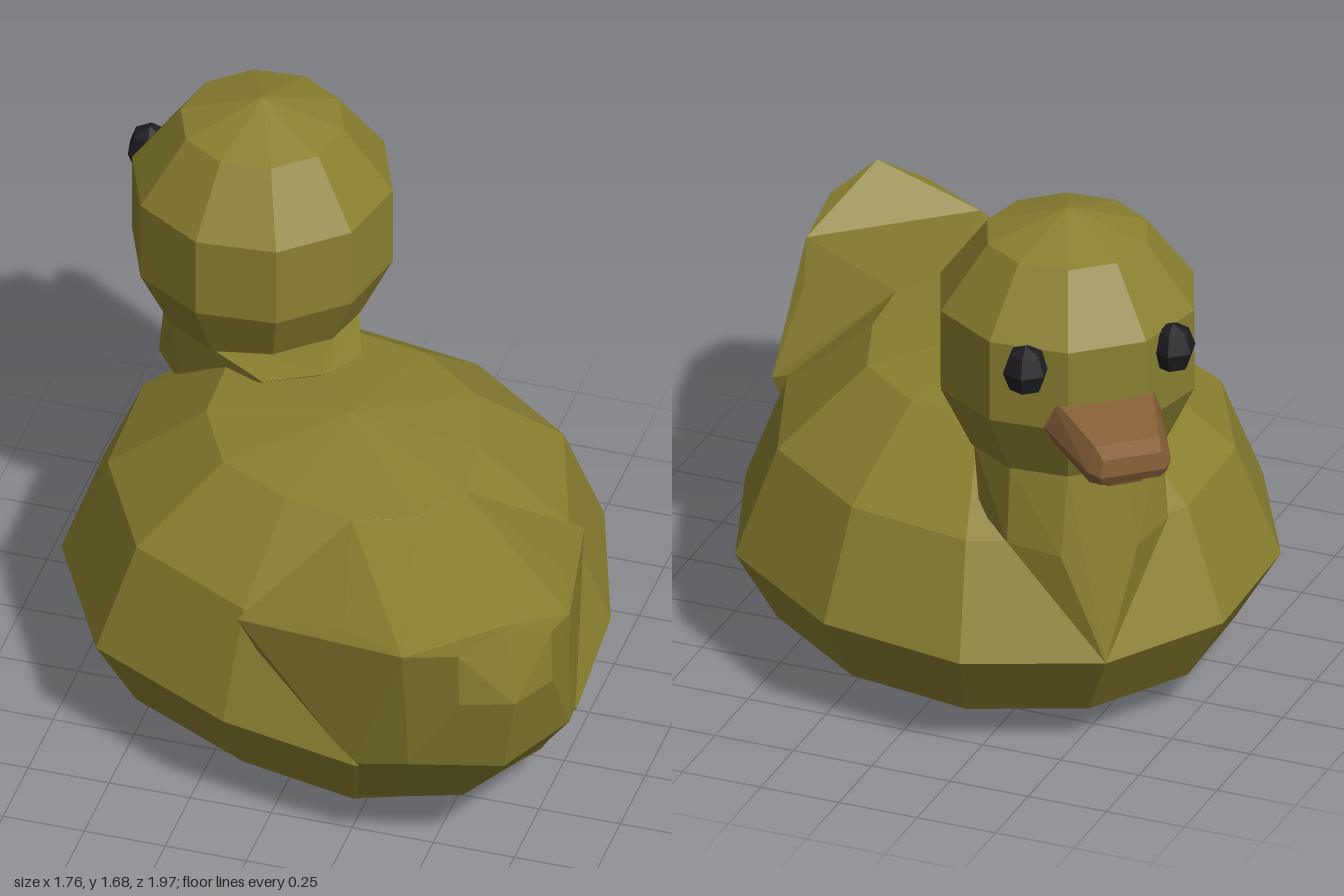
import * as THREE from 'three';
import { ConvexGeometry } from 'three/addons/geometries/ConvexGeometry.js';

const feather = new THREE.MeshStandardMaterial({ color: 0x8a8030 });
feather.name = 'olive feather';
const bill = new THREE.MeshStandardMaterial({ color: 0x855f38 });
bill.name = 'brown bill';
const black = new THREE.MeshStandardMaterial({ color: 0x1d1e22 });
black.name = 'eye black';

// Split shared vertices so every facet is flat
function faceted(geometry) {
  const g = geometry.toNonIndexed();
  g.computeVertexNormals();
  return g;
}

// Low-poly turned form from [radius, height] pairs, bottom to top
function turned(profile, sides) {
  return new THREE.LatheGeometry(profile.map(([r, y]) => new THREE.Vector2(r, y)), sides);
}

// Convex block from points given for one side [x, y, z] and mirrored in x
function mirroredHull(points) {
  const all = [];
  for (const [x, y, z] of points) {
    all.push(new THREE.Vector3(x, y, z));
    if (x !== 0) all.push(new THREE.Vector3(-x, y, z));
  }
  return new ConvexGeometry(all);
}

export function createModel() {
  const duck = new THREE.Group();
  duck.name = 'duck';
  function add(name, geometry, material) {
    const mesh = new THREE.Mesh(geometry, material);
    mesh.name = name;
    duck.add(mesh);
    return mesh;
  }

  // Body: squashed twelve-sided egg, narrower towards the back
  const body = turned([[0, 0], [0.5, 0.03], [0.84, 0.11], [1, 0.34], [0.84, 0.67], [0.5, 0.9], [0, 0.96]], 12);
  body.scale(0.82, 1, 1);
  const pos = body.attributes.position;
  for (let i = 0; i < pos.count; i++) {
    if (pos.getZ(i) < -0.1) {
      pos.setX(i, pos.getX(i) * 0.88);
      pos.setZ(i, pos.getZ(i) * 0.97);
    }
  }
  body.translate(0, 0, -0.03);
  add('body', faceted(body), feather);

  // Rump rising into the upturned tail
  add('rump', mirroredHull([
    [0, 0.9, -0.51], [0.18, 0.9, -0.45], [0.56, 0.665, -0.47], [0.355, 0.78, -0.785],
    [0.27, 0.81, -1.02], [0.26, 0.43, -1.04], [0.36, 0.34, -0.86], [0.3, 0.11, -0.73], [0, 0.11, -0.85],
  ]), feather);
  add('tail', mirroredHull([
    [0.27, 0.81, -1.02], [0.26, 0.43, -1.04], [0, 0.95, -1.17], [0.15, 0.87, -1.155],
    [0.15, 0.7, -1.165], [0, 0.7, -1.23], [0, 0.42, -1.15], [0, 0.11, -0.85],
  ]), feather);

  // Neck: ten-sided collar under the head, flowing to the breast point
  const neck = [
    [0, 0.975, 0.15], [0.16, 0.93, 0.245], [0.27, 0.72, 0.6],
    [0.25, 0.7, 0.8], [0.12, 0.685, 0.91], [0, 0.34, 0.97],
  ];
  for (let i = 0; i < 10; i++) {
    const a = (i * Math.PI) / 5;
    if (Math.cos(a) > 0) neck.push([0.29 * Math.cos(a), 0.94, 0.61 + 0.29 * Math.sin(a)]);
  }
  add('neck', mirroredHull(neck), feather);

  // Head: ten-sided ball with a flat facet facing forward
  const head = turned([[0, 0.92], [0.297, 0.94], [0.393, 1.14], [0.393, 1.4], [0.247, 1.6], [0, 1.68]], 10);
  head.rotateY(Math.PI / 2).translate(0, 0, 0.61);
  add('head', faceted(head), feather);

  // Eyes
  for (const side of [-1, 1]) {
    const eye = new THREE.SphereGeometry(0.075, 6, 4).scale(0.95, 1.08, 0.95);
    add(side > 0 ? 'leftEye' : 'rightEye', faceted(eye), black).position.set(side * 0.228 - 0.008, 1.34, 0.933);
  }

  // Bill: wide bevelled upper half over a narrow lower half
  add('upperBill', mirroredHull([
    [0.15, 1.08, 0.9], [0.19, 1.15, 0.9], [0.16, 1.24, 0.9],
    [0.12, 1.07, 1.18], [0.13, 1.11, 1.19], [0.1, 1.18, 1.17],
    [0.09, 1.07, 1.21], [0.1, 1.1, 1.225], [0.09, 1.155, 1.22],
  ]), bill);
  add('lowerBill', mirroredHull([
    [0.12, 1.06, 0.88], [0.11, 1.025, 0.88], [0.1, 1.06, 1.12], [0.08, 1.03, 1.11],
    [0.06, 1.06, 1.16], [0.05, 1.03, 1.15],
  ]), bill);

  // Turn the duck to look diagonally backwards
  duck.rotation.y = Math.atan2(-0.656, -0.755);
  const model = new THREE.Group();
  model.name = 'model';
  model.add(duck);
  return model;
}
